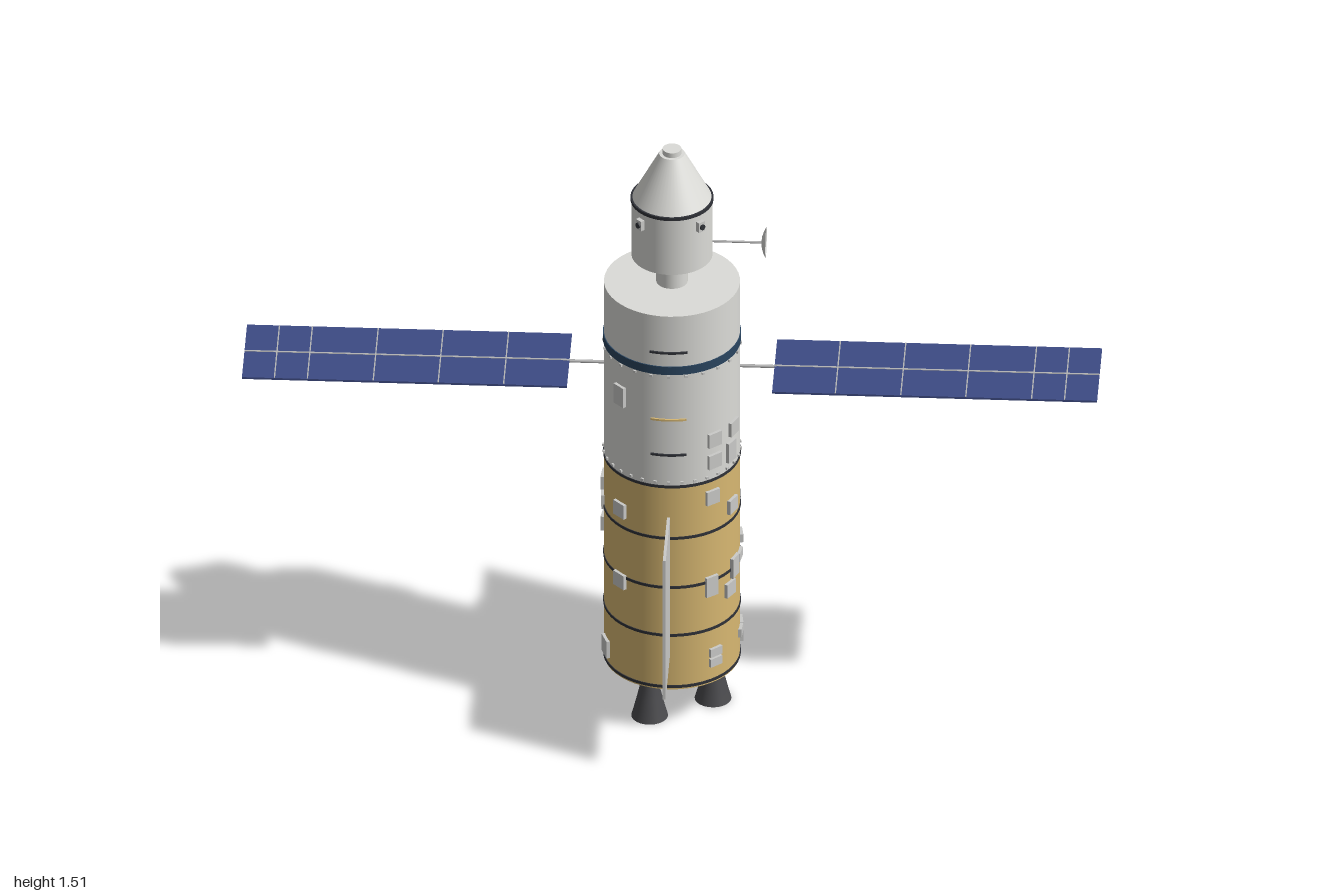
import * as THREE from 'three';

const mat = (name, color, side = THREE.FrontSide) => {
  const m = new THREE.MeshStandardMaterial({ color, side });
  m.name = name;
  return m;
};

export function createModel() {
  const white = mat('hull white', 0xdcdcd8);
  const gold = mat('gold foil', 0xd8b872);
  const navy = mat('navy band', 0x2a4560);
  const dark = mat('dark trim', 0x303238);
  const nozzleGrey = mat('nozzle grey', 0x4a4a4d, THREE.DoubleSide);
  const solar = mat('solar blue', 0x3d4b84);
  const lineGrey = mat('cell line', 0xb4b4b4);
  const panelGrey = mat('radiator grey', 0xcacac8);
  const dishWhite = mat('dish white', 0xd4d4d2, THREE.DoubleSide);

  const model = new THREE.Group();
  model.name = 'spaceStation';
  const add = (name, geo, material, x = 0, y = 0, z = 0, parent = model) => {
    const m = new THREE.Mesh(geo, material);
    m.name = name;
    m.position.set(x, y, z);
    parent.add(m);
    return m;
  };
  // Upright cylinder or cone between two heights
  const drum = (name, y0, y1, r0, r1, material, seg = 48) =>
    add(name, new THREE.CylinderGeometry(r1, r0, y1 - y0, seg), material, 0, (y0 + y1) / 2, 0);
  const box = (name, w, h, d, material, x, y, z, parent) =>
    add(name, new THREE.BoxGeometry(w, h, d), material, x, y, z, parent);
  // Place a mesh on a round wall, turned outward; angle in degrees from +z towards +x
  const onWall = (m, angle, radius) => {
    const a = THREE.MathUtils.degToRad(angle);
    m.position.x = Math.sin(a) * radius;
    m.position.z = Math.cos(a) * radius;
    m.rotation.y = a;
    return m;
  };

  // Main hull
  const R = 0.159;
  drum('serviceModule', 0.12, 0.68, R, R, gold);
  drum('crewModule', 0.68, 1.15, R, R, white);
  drum('navyBand', 0.99, 1.012, R + 0.0025, R + 0.0025, navy);
  for (const y of [0.128, 0.27, 0.402, 0.538, 0.68]) {
    drum('hullRing', y - 0.0035, y + 0.0035, R + 0.002, R + 0.002, dark);
  }
  // Rivets around the module joints
  for (const [y, n] of [[0.692, 32], [0.984, 24]]) {
    for (let i = 0; i < n; i++) {
      onWall(box('rivet', 0.007, 0.006, 0.006, panelGrey, 0, y, 0), (i * 360) / n, R + 0.001);
    }
  }

  // Neck and capsule
  drum('neck', 1.145, 1.23, 0.037, 0.037, white, 32);
  drum('capsule', 1.225, 1.38, 0.095, 0.095, white);
  drum('capsuleRing', 1.375, 1.383, 0.097, 0.097, dark);
  drum('capsuleCone', 1.38, 1.502, 0.094, 0.03, white);
  drum('capsuleTip', 1.5, 1.515, 0.022, 0.022, white, 24);
  for (let i = 0; i < 4; i++) {
    const angle = 45 + i * 90;
    onWall(box('thrusterPod', 0.018, 0.026, 0.016, panelGrey, 0, 1.347, 0), angle, 0.097);
    const port = add('thrusterPort', new THREE.CylinderGeometry(0.007, 0.007, 0.01, 12), dark, 0, 1.347, 0);
    onWall(port, angle, 0.104);
    port.rotation.order = 'YXZ';
    port.rotation.x = Math.PI / 2;
  }

  // Dish antenna on the left of the capsule
  const arm = add('dishArm', new THREE.CylinderGeometry(0.0028, 0.0028, 0.122, 8), lineGrey, 0.152, 1.262, 0);
  arm.rotation.z = Math.PI / 2;
  const dishProfile = [0, 0.014, 0.026, 0.037].map((r) => new THREE.Vector2(r, 8 * r * r));
  const dish = add('dish', new THREE.LatheGeometry(dishProfile, 32), dishWhite, 0.209, 1.262, 0);
  dish.rotation.z = -Math.PI / 2;

  // Three engine bells
  const bell = [[0.043, 0], [0.037, 0.022], [0.029, 0.055], [0.021, 0.09], [0.019, 0.115]]
    .map(([r, h]) => new THREE.Vector2(r, h));
  for (const angle of [90, 210, 330]) {
    const engine = new THREE.Group();
    engine.name = 'engine';
    model.add(onWall(engine, angle, 0.096));
    add('engineBell', new THREE.LatheGeometry(bell, 28), nozzleGrey, 0, 0, 0, engine);
    add('engineThroat', new THREE.CylinderGeometry(0.019, 0.019, 0.02, 20), dark, 0, 0.112, 0, engine);
  }

  for (const s of [1, -1]) {
    // Radiator plates, front and back
    box('radiator', 0.007, 0.382, 0.2, panelGrey, 0, 0.404, s * 0.25);

    // Solar wings, left and right
    const wing = new THREE.Group();
    wing.name = s > 0 ? 'leftSolarWing' : 'rightSolarWing';
    wing.position.y = 0.92;
    model.add(wing);
    const boom = add('wingBoom', new THREE.CylinderGeometry(0.004, 0.004, 0.1, 8), lineGrey, s * 0.195, 0, 0, wing);
    boom.rotation.z = Math.PI / 2;
    box('solarPanel', 0.76, 0.005, 0.23, solar, s * 0.62, 0, 0, wing);
    box('lengthLine', 0.76, 0.0015, 0.005, lineGrey, s * 0.62, 0.003, 0, wing);
    for (const x of [0.388, 0.541, 0.693, 0.847, 0.924]) {
      box('cellLine', 0.003, 0.0015, 0.228, lineGrey, s * x, 0.003, 0, wing);
    }
  }

  // Handrails following the hull front
  const rail = (y, halfAngle, material) => {
    const a = THREE.MathUtils.degToRad(halfAngle);
    add('handrail', new THREE.CylinderGeometry(R + 0.004, R + 0.004, 0.005, 12, 1, false, -a, 2 * a), material, 0, y, 0);
  };
  rail(1.05, 16, dark);
  rail(0.865, 15, gold);
  rail(0.768, 15, dark);

  // Equipment boxes on the hull wall
  const equipment = (angle, y, w, h) =>
    onWall(box('equipmentBox', w, h, 0.012, panelGrey, 0, y, 0), angle, R + 0.001);

  // Square boxes clustered on the left front
  for (const [angle, y] of [[39, 0.635], [64, 0.58], [41, 0.792], [66, 0.792], [41, 0.733], [60, 0.355]]) {
    equipment(angle, y, 0.037, 0.037);
  }
  // Tall boxes
  for (const [angle, y] of [[38, 0.39], [68, 0.405], [97, 0.183], [62, 0.733], [155, 0.942], [-46, 0.9]]) {
    equipment(angle, y, 0.034, 0.053);
  }
  // Low boxes
  for (const [angle, y] of [[114, 0.535], [99, 0.437], [81, 0.415], [86, 0.197], [42, 0.205], [42, 0.178]]) {
    equipment(angle, y, 0.034, 0.022);
  }
  // Narrow strips
  for (const [angle, y] of [[134, 0.415], [118, 0.805], [112, 0.76], [127, 0.745]]) {
    equipment(angle, y, 0.012, 0.05);
  }
  // Three boxes down the right front
  for (const y of [0.39, 0.585]) equipment(-46, y, 0.038, 0.038);
  equipment(-70, 0.17, 0.04, 0.045);
  // Scattered boxes around the right and back, spread by a fixed stride
  for (let i = 0; i < 12; i++) {
    equipment(192 + ((i * 37) % 84), 0.2 + ((i * 5) % 12) * 0.039, 0.034 + (i % 3) * 0.004, 0.026 + (i % 4) * 0.004);
  }

  return model;
}
